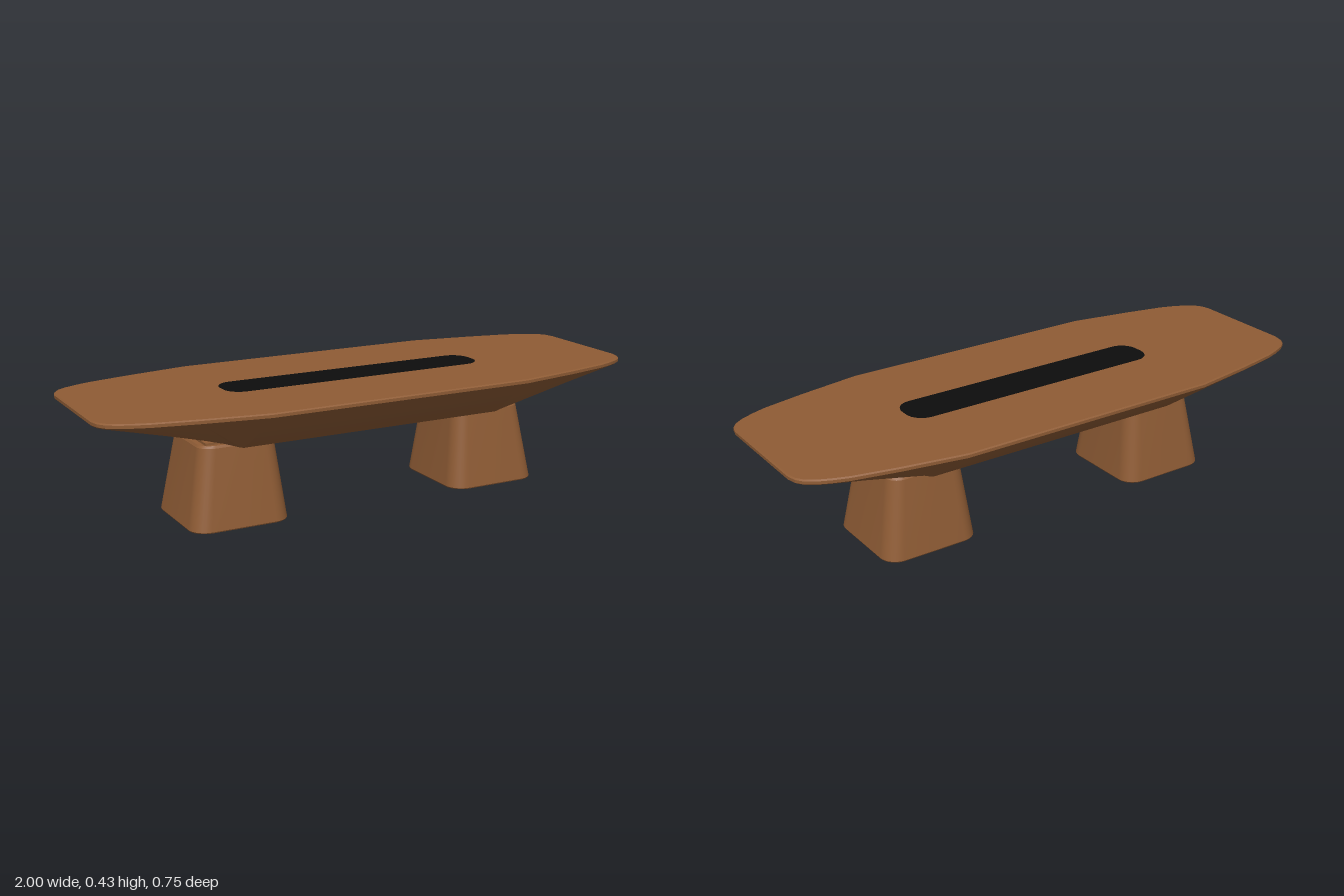
import * as THREE from 'three';
import { toCreasedNormals } from 'three/addons/utils/BufferGeometryUtils.js';

// Skin a stack of equal-length rings, closing the first and last with fans.
function loft(rings, crease = 0.26) {
  const n = rings[0].length, pos = [], index = [];
  rings.forEach(r => r.forEach(p => pos.push(...p)));
  const cap = (ring, base, up) => {
    const c = pos.length / 3;
    const y = ring.reduce((s, p) => s + p[1], 0) / n;
    pos.push(ring.reduce((s, p) => s + p[0], 0) / n, y, 0);
    for (let j = 0; j < n; j++) {
      const a = base + j, b = base + (j + 1) % n;
      if (up) index.push(c, b, a); else index.push(c, a, b);
    }
  };
  for (let i = 0; i < rings.length - 1; i++) {
    for (let j = 0; j < n; j++) {
      const k = (j + 1) % n;
      const a = i * n + j, b = i * n + k, c = a + n, d = b + n;
      index.push(a, c, b, b, c, d);
    }
  }
  cap(rings[0], 0, false);
  cap(rings[rings.length - 1], (rings.length - 1) * n, true);
  const g = new THREE.BufferGeometry();
  g.setAttribute('position', new THREE.Float32BufferAttribute(pos, 3));
  g.setIndex(index);
  return toCreasedNormals(g, crease);
}

// Mirror a quarter outline (from the long side to the end) into a full ring.
function mirrorRing(quarter) {
  const back = [...quarter].reverse();
  const flip = (list, sx, sz) => list.map(([x, y, z]) => [x * sx, y, z * sz]);
  return [...flip(back, 1, 1), ...flip(quarter, -1, 1), ...flip(back, -1, -1), ...flip(quarter, 1, -1)];
}

// Rounded rectangle ring at height y.
function roundedRing(cx, hx, hz, r, y, steps = 8) {
  const pts = [];
  for (let q = 0; q < 4; q++) {
    const sx = q === 0 || q === 3 ? 1 : -1, sz = q < 2 ? 1 : -1;
    for (let i = 0; i <= steps; i++) {
      const a = (q + i / steps) * Math.PI / 2;
      pts.push([cx + sx * (hx - r) + r * Math.cos(a), y, sz * (hz - r) + r * Math.sin(a)]);
    }
  }
  return pts;
}

export function createModel() {
  const model = new THREE.Group();
  model.name = 'table';
  const wood = new THREE.MeshStandardMaterial({ color: 0x8f5c35 });
  wood.name = 'brown wood';
  const black = new THREE.MeshStandardMaterial({ color: 0x0d0d0d });
  black.name = 'black inlay';

  const add = (parent, name, geometry, material) => {
    const mesh = new THREE.Mesh(geometry, material);
    mesh.name = name;
    parent.add(mesh);
    return mesh;
  };

  // Tabletop quarter: edge x, edge z, matching underside rim x, rim z
  const quarter = [
    [0.48, 0.375, 0.49, 0.172], [0.70, 0.337, 0.50, 0.168],
    [0.85, 0.305, 0.515, 0.160], [0.90, 0.288, 0.535, 0.152],
    [0.945, 0.268, 0.56, 0.142], [0.975, 0.247, 0.58, 0.132],
    [0.992, 0.222, 0.593, 0.122], [1.00, 0.19, 0.60, 0.11],
  ];
  const edge = (y, inset) => mirrorRing(quarter.map(([x, z]) => [x - inset, y, z - inset]));
  const rimY = x => Math.max(0.27, 0.415 - 0.2875 * (1 - x));
  const rim = (s, sz) => mirrorRing(quarter.map(([, , x, z]) => [x * s, rimY(x), z * sz]));
  const recess = mirrorRing(quarter.map(([, , x, z]) => [x * 0.97, 0.302, z * 0.74]));
  add(model, 'tabletop', loft([
    recess, rim(0.98, 0.78), rim(0.995, 0.97), rim(1, 1).map(([x, y, z]) => [x, y + 0.003, z * 1.015]),
    edge(0.413, 0.005), edge(0.418, 0), edge(0.428, 0), edge(0.432, 0.004),
  ]), wood);

  // Dark strip set into the middle of the top
  add(model, 'centreInlay', loft([
    roundedRing(0, 0.49, 0.075, 0.06, 0.428),
    roundedRing(0, 0.49, 0.075, 0.06, 0.4335),
  ]), black);

  // Two hollow tapered pedestals
  for (const side of [1, -1]) {
    const leg = new THREE.Group();
    leg.name = side > 0 ? 'leftPedestal' : 'rightPedestal';
    model.add(leg);
    const ring = (hx, hz, r, y, cx = 0.495) => roundedRing(side * cx, hx, hz, r, y);
    add(leg, 'pedestalShell', loft([
      ring(0.115, 0.115, 0.04, 0.26, 0.487), ring(0.157, 0.162, 0.05, 0),
      ring(0.173, 0.178, 0.06, 0), ring(0.175, 0.18, 0.06, 0.004),
      ring(0.137, 0.139, 0.05, 0.272, 0.487), ring(0.132, 0.134, 0.048, 0.28, 0.487),
    ]), wood);

    // Mounting plate on top of the pedestal
    add(leg, 'mountingPlate', new THREE.BoxGeometry(0.23, 0.012, 0.24), wood)
      .position.set(side * 0.487, 0.282, 0);

    // Upright divider inside the pedestal
    const panel = new THREE.Shape([[-0.162, 0.008], [0.162, 0.008], [0.118, 0.262], [-0.118, 0.262]]
      .map(([x, y]) => new THREE.Vector2(x, y)));
    const divider = add(leg, 'dividerPanel',
      new THREE.ExtrudeGeometry(panel, { depth: 0.012, bevelEnabled: false }), wood);
    divider.rotation.y = Math.PI / 2;
    divider.position.x = side * 0.49 - 0.006;
  }
  return model;
}
